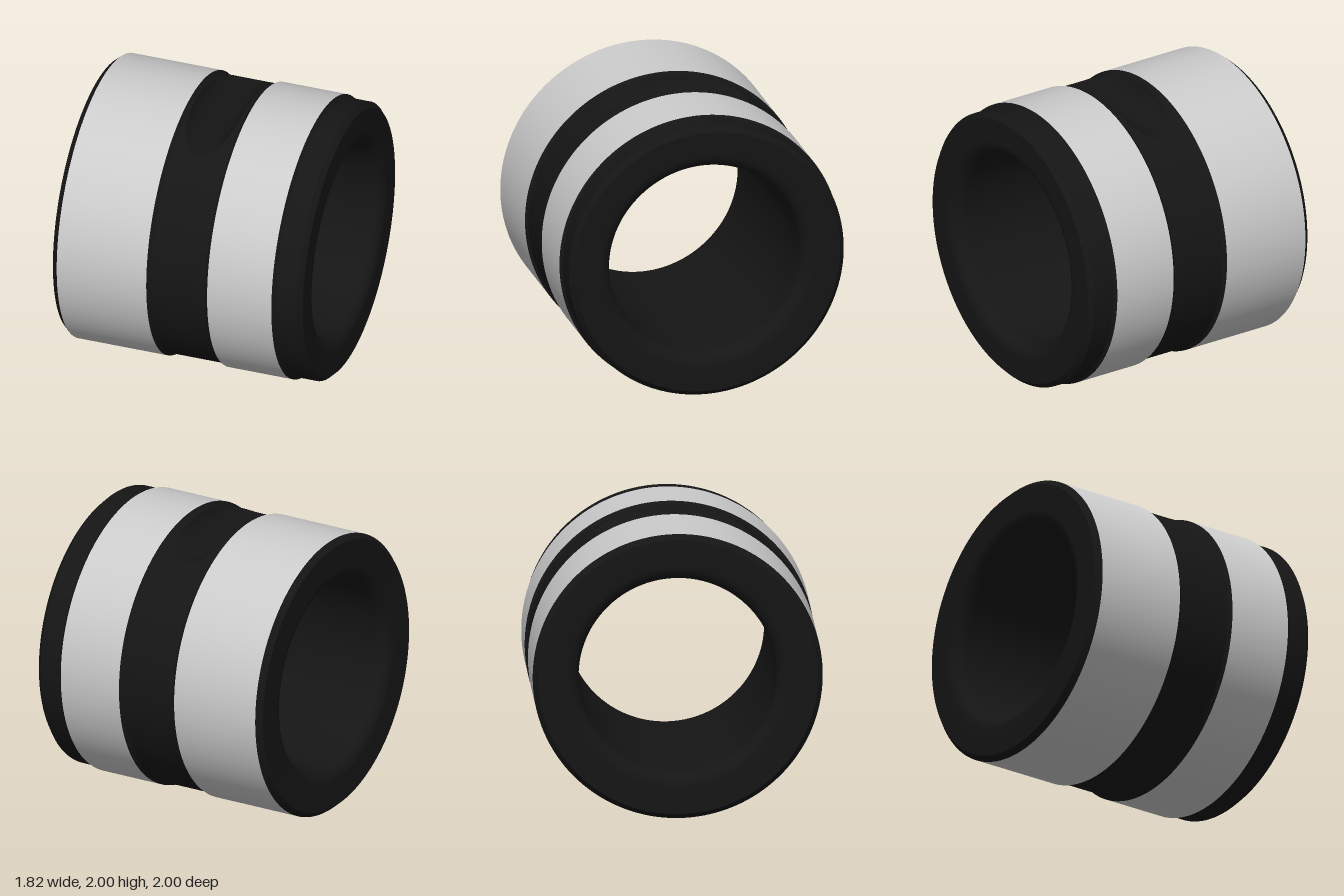
import * as THREE from 'three';
import { toCreasedNormals } from 'three/addons/utils/BufferGeometryUtils.js';

const DARK = 0x151515, GREY = 0xcccccc;
const SEGMENTS = 256;

// Revolve [x, radius] points around the horizontal x axis, centred at y = 1.
function revolve(profile) {
  const points = profile.map(([x, r]) => new THREE.Vector2(r, x));
  return new THREE.LatheGeometry(points, SEGMENTS).rotateZ(-Math.PI / 2).translate(0, 1, 0);
}

function part(name, geometry, color) {
  const mesh = new THREE.Mesh(
    toCreasedNormals(geometry, 0.35),
    new THREE.MeshStandardMaterial({ color })
  );
  mesh.name = name;
  return mesh;
}

// Quarter round between a flat end face and the bore.
function fillet(side, from, to) {
  const r = 0.1, steps = 10;
  return Array.from({ length: steps + 1 }, (_, i) => {
    const a = THREE.MathUtils.lerp(from, to, i / steps);
    return [side * (0.91 - r + r * Math.sin(a)), 0.68 + r - r * Math.cos(a)];
  });
}

export function createModel() {
  const group = new THREE.Group();
  group.name = 'grooved sleeve';

  // Plain end: shoulder behind the narrow band, chamfer, end face, bore, other end face
  const core = [
    [0.70, 1], [0.72, 0.98], [0.875, 0.98], [0.91, 0.945],
    ...fillet(1, Math.PI / 2, 0),
    ...fillet(-1, 0, Math.PI / 2),
    [-0.91, 0.965], [-0.87, 1],
  ];
  group.add(part('sleeveCore', revolve(core), DARK));

  // Polished outer bands
  group.add(part('wideBand', revolve([[-0.87, 1], [-0.215, 1]]), GREY));
  group.add(part('narrowBand', revolve([[0.23, 1], [0.70, 1]]), GREY));

  // Groove between the bands, with a round notch cut across its top
  const R = 0.19, axisY = 2.02, columns = 40;
  const grooveProfile = [[-0.215, 1], [-0.193, 0.98]];
  for (let i = 0; i <= columns; i++) {
    grooveProfile.push([0.187 * Math.sin((i / columns - 0.5) * Math.PI), 0.98]);
  }
  grooveProfile.push([0.207, 0.98], [0.23, 1]);
  const groove = revolve(grooveProfile);
  const pos = groove.attributes.position;
  for (let i = 0; i < pos.count; i++) {
    const x = pos.getX(i);
    if (Math.abs(x) < R) {
      const floor = axisY - Math.sqrt(R * R - x * x);
      pos.setY(i, Math.min(pos.getY(i), floor));
    }
  }
  group.add(part('notchedGroove', groove, DARK));

  return group;
}
